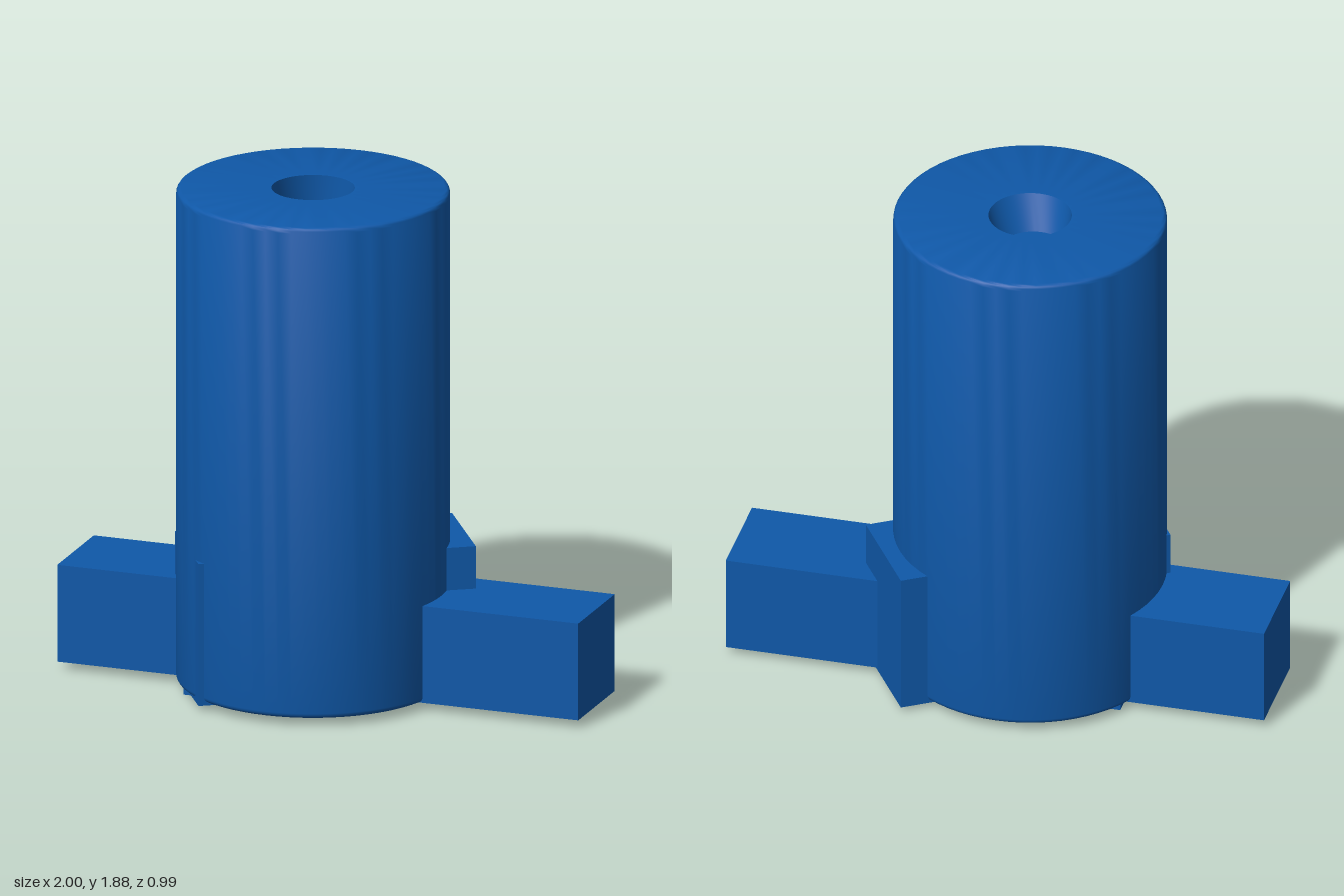
import * as THREE from 'three';
import { toCreasedNormals } from 'three/addons/utils/BufferGeometryUtils.js';

export function createModel() {
  const model = new THREE.Group();
  const material = new THREE.MeshStandardMaterial({ color: 0x0f58a8 });

  const add = (name, geometry, x, y, z) => {
    const mesh = new THREE.Mesh(geometry, material);
    mesh.name = name;
    mesh.position.set(x, y, z);
    model.add(mesh);
    return mesh;
  };
  // Box given by its lower and upper corners
  const addBox = (name, [x0, y0, z0], [x1, y1, z1]) =>
    add(name, new THREE.BoxGeometry(x1 - x0, y1 - y0, z1 - z0),
      (x0 + x1) / 2, (y0 + y1) / 2, (z0 + z1) / 2);

  // Cylinder body with softened rims and a shallow tapered socket on top
  const radius = 0.493, bottom = 0.03, top = 1.88, bevel = 0.02;
  const profile = [new THREE.Vector2(0, bottom)];
  const addArc = (cy, start) => {
    for (let i = 0; i <= 4; i++) {
      const a = start + (i / 4) * Math.PI / 2;
      profile.push(new THREE.Vector2(radius - bevel + bevel * Math.cos(a), cy + bevel * Math.sin(a)));
    }
  };
  addArc(bottom + bevel, -Math.PI / 2);
  addArc(top - bevel, 0);
  profile.push(
    new THREE.Vector2(0.15, top),
    new THREE.Vector2(0.12, top - 0.12),
    new THREE.Vector2(0, top - 0.12),
  );
  const body = new THREE.LatheGeometry(profile, 64);

  // The socket floor sits off centre, so its wall slants
  const p = body.attributes.position;
  for (let i = 0; i < p.count; i++) {
    if (p.getY(i) > 1 && Math.hypot(p.getX(i), p.getZ(i)) < 0.14) {
      p.setX(i, p.getX(i) - 0.02);
      p.setZ(i, p.getZ(i) - 0.035);
    }
  }
  add('body', toCreasedNormals(body, 0.6), -0.07, 0, 0);

  // Long bar through the base
  addBox('crossBar', [-1, 0.03, -0.235], [1, 0.395, 0.14]);

  // Taller block turned through the base
  addBox('turnedBlock', [-0.54, 0.02, -0.22], [0.48, 0.555, 0.185]).rotation.y = 0.57;

  // Foot pieces under the body
  add('footDisc', new THREE.CylinderGeometry(0.15, 0.15, 0.03, 32), -0.07, 0.025, 0);
  addBox('footPlate', [-0.47, 0, -0.25], [0.04, 0.04, 0.26]);

  return model;
}
